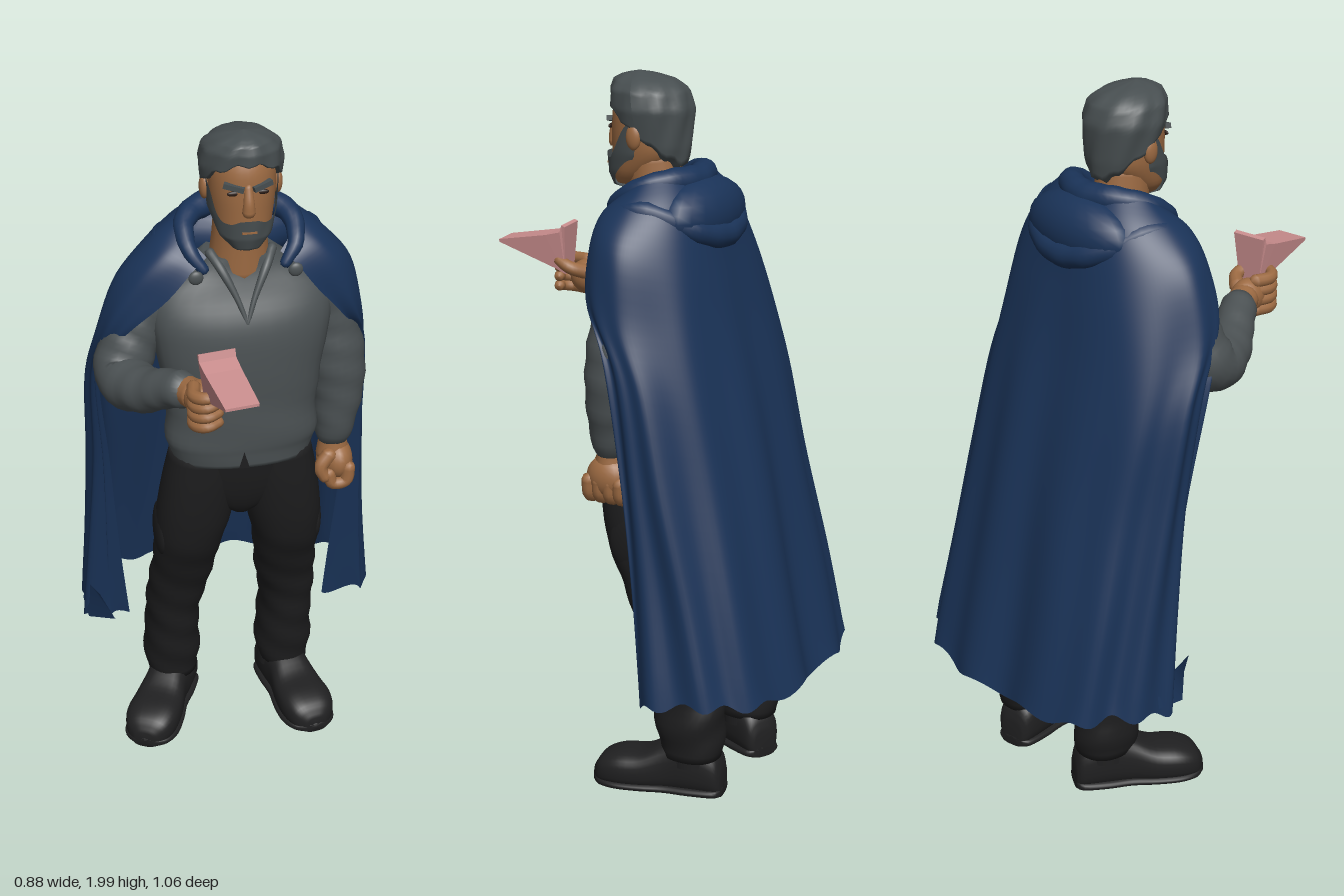
import * as THREE from 'three';

const mat = (name, color, side = THREE.FrontSide) => {
  const m = new THREE.MeshStandardMaterial({ color, side });
  m.name = name;
  return m;
};
const V = (x, y, z) => new THREE.Vector3(x, y, z);
const sstep = THREE.MathUtils.smoothstep;

// Surface through rows of points; wrap joins the last column to the first
function surface(rows, wrap) {
  const n = rows[0].length, pos = [], idx = [];
  rows.forEach(r => r.forEach(p => pos.push(p.x, p.y, p.z)));
  for (let i = 0; i < rows.length - 1; i++)
    for (let j = 0; j < (wrap ? n : n - 1); j++) {
      const k = (j + 1) % n, a = i * n + j, b = a + n, c = i * n + k, d = c + n;
      idx.push(a, b, c, c, b, d);
    }
  const g = new THREE.BufferGeometry();
  g.setAttribute('position', new THREE.Float32BufferAttribute(pos, 3));
  g.setIndex(idx);
  g.computeVertexNormals();
  return g;
}
const spline = pts => new THREE.CatmullRomCurve3(pts, false, 'catmullrom', 0.5);

// Stacked superellipse rings [cx, y, cz, rx, rz], bottom to top, with closed ends
function loft(rings, { pow = 2, ripple = () => 0, seg = 32, steps = 4 } = {}) {
  const c = spline(rings.map(r => V(r[0], r[1], r[2])));
  const s = spline(rings.map(r => V(r[3], r[4], 0)));
  const n = (rings.length - 1) * steps, rows = [];
  const sp = v => Math.sign(v) * Math.abs(v) ** (2 / pow);
  for (let i = -1; i <= n + 1; i++) {
    const t = THREE.MathUtils.clamp(i / n, 0, 1), p = c.getPoint(t), r = s.getPoint(t);
    const cap = i < 0 || i > n ? 0 : 1;
    rows.push(Array.from({ length: seg }, (_, j) => {
      const a = j / seg * Math.PI * 2, k = cap * (1 + ripple(a, p.y));
      return V(p.x + r.x * k * sp(Math.cos(a)), p.y, p.z + r.y * k * sp(Math.sin(a)));
    }));
  }
  return surface(rows, true);
}

// Tapered round tube through [x, y, z, r] with rounded ends
function limb(pts, wrinkle = 0, seg = 16) {
  const c = spline(pts.map(p => V(p[0], p[1], p[2]))), n = (pts.length - 1) * 6;
  const rad = spline(pts.map(p => V(p[3], 0, 0))), f = c.computeFrenetFrames(n);
  const rows = [];
  const ring = (i, off, k) => {
    const p = c.getPointAt(i / n), r = rad.getPoint(i / n).x;
    p.addScaledVector(f.tangents[i], off * r);
    rows.push(Array.from({ length: seg }, (_, j) => {
      const a = j / seg * Math.PI * 2, q = r * k * (1 + wrinkle * Math.sin(i * 1.5 + 2 * Math.sin(a)));
      return p.clone().addScaledVector(f.normals[i], q * Math.cos(a)).addScaledVector(f.binormals[i], -q * Math.sin(a));
    }));
  };
  ring(0, -0.75, 0); ring(0, -0.5, 0.75);
  for (let i = 0; i <= n; i++) ring(i, 0, 1);
  ring(n, 0.5, 0.75); ring(n, 0.75, 0);
  return surface(rows, true);
}

// Partial shell round the head between the lines lo(angle) and hi(angle); rings [y, cz, rx, rz]
function shell(rings, a0, a1, lo, hi, tuck, strands) {
  const rows = [], M = 48, N = 22;
  for (let i = 0; i <= N; i++) rows.push(Array.from({ length: M + 1 }, (_, j) => {
    const a = a0 + (a1 - a0) * j / M, y = lo(a) + (hi(a) - lo(a)) * i / N;
    let k = 0;
    while (k < rings.length - 2 && rings[k + 1][0] < y) k++;
    const [p, q] = [rings[k], rings[k + 1]], t = THREE.MathUtils.clamp((y - p[0]) / (q[0] - p[0]), 0, 1);
    const [cz, rx, rz] = [1, 2, 3].map(m => p[m] + (q[m] - p[m]) * t);
    const w = (i === 0 ? tuck : 1) * (1 + strands * Math.sin(9 * a + y * 30));
    return V(rx * w * Math.cos(a), y, cz + rz * w * Math.sin(a));
  }));
  return surface(rows, false);
}

export function createModel() {
  const D = THREE.DoubleSide;
  const cloakM = mat('cloak blue', 0x1a3358, D), knit = mat('knit grey', 0x4b5153), hairM = mat('hair grey', 0x474e50, D);
  const skin = mat('skin', 0x9c6a42), cloth = mat('trouser black', 0x1d1d1e), leather = mat('boot black', 0x202021);
  const pink = mat('pink', 0xc98d8d), dark = mat('eye dark', 0x2a1c16);
  const root = new THREE.Group();
  const add = (name, geo, m, parent = root) => {
    const mesh = new THREE.Mesh(geo, m);
    mesh.name = name;
    parent.add(mesh);
    return mesh;
  };
  const ball = (name, m, x, y, z, rx, ry, rz) => {
    const b = add(name, new THREE.SphereGeometry(1, 20, 14), m);
    b.position.set(x, y, z);
    b.scale.set(rx, ry, rz);
    return b;
  };

  // Head and face
  add('head', loft([[0, 1.69, 0.045, 0.04, 0.045], [0, 1.72, 0.03, 0.068, 0.068], [0, 1.78, 0, 0.085, 0.1],
    [0, 1.84, 0, 0.09, 0.1], [0, 1.9, -0.005, 0.09, 0.1], [0, 1.95, -0.005, 0.075, 0.08]]), skin);
  add('neck', limb([[0, 1.58, -0.04, 0.085], [0, 1.67, -0.03, 0.076], [0, 1.77, -0.02, 0.072]]), skin);
  add('nose', limb([[0, 1.865, 0.092, 0.011], [0, 1.825, 0.103, 0.014], [0, 1.795, 0.102, 0.018]]), skin);
  add('hair', shell([[1.74, -0.02, 0.08, 0.095], [1.8, -0.02, 0.097, 0.105], [1.9, -0.015, 0.114, 0.115], [1.95, -0.005, 0.104, 0.107],
    [1.975, 0.008, 0.075, 0.087], [1.988, 0.02, 0.045, 0.05], [1.997, 0.025, 0, 0]], 0, Math.PI * 2,
    a => 1.832 + 0.09 * Math.sin(a) + 0.006 * Math.sin(11 * a), () => 1.997, 0.82, 0.025), hairM);
  const off = a => Math.abs(a - Math.PI / 2);
  add('beard', shell([[1.668, 0.05, 0, 0], [1.685, 0.05, 0.045, 0.05], [1.72, 0.035, 0.075, 0.076], [1.78, 0.005, 0.092, 0.11],
    [1.87, 0, 0.097, 0.1]], Math.PI / 2 - 1.7, Math.PI / 2 + 1.7,
    a => 1.668 + 0.1 * sstep(off(a), 0.7, 1.7), a => 1.775 - 0.012 * sstep(off(a), 0.2, 0.6) + 0.1 * sstep(off(a), 0.8, 1.5), 1, 0.008), hairM);
  add('mouth', new THREE.BoxGeometry(0.04, 0.005, 0.008), skin).position.set(0, 1.742, 0.111);
  for (const s of [-1, 1]) {
    ball('ear', skin, s * 0.098, 1.83, -0.01, 0.014, 0.035, 0.022);
    ball('eye', dark, s * 0.038, 1.847, 0.09, 0.018, 0.007, 0.005);
    const brow = add('eyebrow', new THREE.BoxGeometry(0.055, 0.014, 0.016), hairM);
    brow.position.set(s * 0.038, 1.866, 0.093);
    brow.rotation.set(0, s * 0.35, s * 0.2);
  }

  // Sweater body with neckline and hem slit
  add('sweater', loft([[0, 1.01, -0.01, 0.196, 0.1], [0, 1.05, -0.01, 0.205, 0.106], [0, 1.09, -0.01, 0.213, 0.112], [0, 1.2, -0.01, 0.213, 0.113],
    [0, 1.35, -0.01, 0.235, 0.118], [0, 1.45, -0.015, 0.25, 0.112], [0, 1.53, -0.03, 0.235, 0.092], [0, 1.59, -0.04, 0.15, 0.08], [0, 1.63, -0.04, 0.095, 0.075]],
    { pow: 2.3, ripple: (a, y) => 0.014 * Math.sin(y * 45 + 3 * Math.cos(a)) * (1 - sstep(y, 1.2, 1.45)) }), knit);
  const slit = add('hemSlit', new THREE.CircleGeometry(0.035, 3, Math.PI / 2), cloth);
  slit.position.set(-0.012, 1.035, 0.105);
  slit.scale.x = 0.5;
  for (const s of [-1, 1])
    add('neckline', limb([[s * 0.085, 1.635, -0.01, 0.014], [s * 0.06, 1.6, 0.035, 0.012], [s * 0.025, 1.53, 0.066, 0.008], [0, 1.46, 0.088, 0.006]]), knit);

  // Trousers and boots
  const folds = (a, y) => 0.035 * Math.sin(y * 55 + 2.5 * Math.sin(a + 1)) * (1 - sstep(y, 0.45, 0.85));
  add('trouserSeat', loft([[0, 0.81, -0.04, 0.03, 0.05], [0, 0.85, -0.037, 0.1, 0.072], [0, 0.92, -0.03, 0.18, 0.088],
    [0, 1.03, -0.02, 0.203, 0.098]], { pow: 2.4 }), cloth);
  for (const s of [-1, 1]) {
    add('trouserLeg', loft([[0.173, 0.12, -0.24, 0.074, 0.085], [0.173, 0.2, -0.235, 0.084, 0.098], [0.173, 0.3, -0.222, 0.079, 0.105],
      [0.172, 0.4, -0.193, 0.08, 0.097], [0.16, 0.5, -0.155, 0.088, 0.09], [0.15, 0.6, -0.112, 0.091, 0.09], [0.143, 0.7, -0.075, 0.098, 0.1],
      [0.13, 0.8, -0.05, 0.108, 0.1], [0.115, 0.92, -0.034, 0.107, 0.1], [0.1, 1.03, -0.022, 0.1, 0.093]].map(r => [s * r[0], ...r.slice(1)]),
      { pow: 2.2, ripple: folds }), cloth);
    ball('thighPocket', cloth, s * 0.225, 0.735, -0.07, 0.02, 0.085, 0.065);
    const boot = new THREE.Group();
    boot.name = 'boot';
    const foot = [[-0.09, 0.035, 0.08], [-0.07, 0.056, 0.13], [0, 0.064, 0.17], [0.07, 0.064, 0.15], [0.14, 0.076, 0.115],
      [0.21, 0.08, 0.105], [0.26, 0.064, 0.085], [0.285, 0.03, 0.05]];
    const along = (grow, cut) => loft(foot.map(([z, w, h]) => [0, z, -Math.min(h, cut) / 2, w + grow, Math.min(h, cut) / 2]),
      { pow: 2.7 }).rotateX(Math.PI / 2);
    add('upper', along(0, 1), leather, boot);
    add('sole', along(0.003, 0.03), leather, boot);
    add('shaft', new THREE.CylinderGeometry(0.073, 0.07, 0.14, 24), leather, boot).position.y = 0.16;
    boot.position.set(s * 0.168, 0.005, -0.24);
    boot.rotation.y = s > 0 ? 0.2 : -0.48;
    root.add(boot);
  }

  // Arms
  add('leftSleeve', limb([[0.22, 1.5, -0.055, 0.075], [0.258, 1.38, -0.065, 0.08], [0.283, 1.2, -0.055, 0.085],
    [0.28, 1.1, -0.045, 0.072], [0.272, 1.02, -0.04, 0.052]], 0.03, 24), knit);
  add('rightSleeve', limb([[-0.23, 1.5, -0.055, 0.075], [-0.295, 1.39, -0.045, 0.08], [-0.33, 1.295, 0, 0.08],
    [-0.29, 1.3, 0.1, 0.072], [-0.235, 1.34, 0.18, 0.057], [-0.2, 1.36, 0.225, 0.05]], 0.03, 24), knit);

  // Left fist
  add('leftWrist', limb([[0.272, 1.02, -0.04, 0.04], [0.272, 0.95, -0.038, 0.048]]), skin);
  ball('leftPalm', skin, 0.282, 0.935, -0.038, 0.047, 0.062, 0.066);
  for (let i = 0; i < 4; i++) {
    const z = 0.012 - 0.032 * i;
    add('leftFinger', limb([[0.308, 0.93, z, 0.02], [0.3, 0.885, z, 0.02], [0.262, 0.88, z, 0.019], [0.252, 0.915, z, 0.017]], 0, 10), skin);
  }
  add('leftThumb', limb([[0.255, 0.97, 0, 0.022], [0.228, 0.935, 0.01, 0.02], [0.24, 0.9, 0.015, 0.017]], 0, 10), skin);

  // Right hand, raised and gripping
  add('rightWrist', limb([[-0.2, 1.36, 0.22, 0.04], [-0.175, 1.365, 0.27, 0.042]]), skin);
  ball('rightPalm', skin, -0.168, 1.365, 0.29, 0.042, 0.05, 0.055);
  for (let i = 0; i < 4; i++) {
    const y = 1.325 + 0.028 * i;
    add('rightFinger', limb([[-0.185, y, 0.3, 0.019], [-0.192, y, 0.35, 0.018], [-0.165, y + 0.005, 0.378, 0.017], [-0.13, y + 0.01, 0.365, 0.015]], 0, 10), skin);
  }
  add('rightThumb', limb([[-0.135, 1.385, 0.28, 0.022], [-0.1, 1.4, 0.31, 0.019], [-0.1, 1.42, 0.35, 0.016]], 0, 10), skin);

  // Folded wedge held in the right hand
  const outline = new THREE.Shape([[0, 0], [0.03, 0.015], [0.2, 0.082], [0.2, 0.09], [0.055, 0.113], [0.01, 0.124], [0.004, 0.145], [-0.006, 0.14]]
    .map(p => new THREE.Vector2(...p)));
  const wedge = new THREE.ExtrudeGeometry(outline, { depth: 0.1, bevelEnabled: false }).translate(0, 0, -0.05).rotateY(-Math.PI / 2);
  const wp = wedge.attributes.position;
  for (let i = 0; i < wp.count; i++) wp.setX(i, wp.getX(i) * (0.65 + 3 * Math.min(wp.getY(i), 0.12)));
  wedge.computeVertexNormals();
  const held = add('heldWedge', wedge, pink);
  held.position.set(-0.13, 1.38, 0.33);
  held.rotation.y = 0.15;

  // Cloak: half rows from the front edge to the middle of the back
  const half = [
    [[0.1, 1.64, 0.03], [0.145, 1.69, -0.01], [0.155, 1.73, -0.07], [0.1, 1.745, -0.13], [0, 1.74, -0.15]],
    [[0.14, 1.61, 0.055], [0.22, 1.645, 0.015], [0.24, 1.655, -0.08], [0.16, 1.66, -0.18], [0, 1.65, -0.22]],
    [[0.2, 1.53, 0.055], [0.285, 1.56, 0.015], [0.315, 1.55, -0.09], [0.2, 1.52, -0.22], [0, 1.5, -0.255]],
    [[0.28, 1.43, 0.025], [0.334, 1.42, -0.01], [0.345, 1.38, -0.11], [0.23, 1.35, -0.255], [0, 1.33, -0.295]],
    [[0.35, 1.3, -0.05], [0.366, 1.25, -0.095], [0.365, 1.2, -0.18], [0.24, 1.15, -0.305], [0, 1.12, -0.35]],
    [[0.34, 0.95, -0.115], [0.38, 0.95, -0.145], [0.38, 0.93, -0.24], [0.25, 0.9, -0.365], [0, 0.9, -0.4]],
    [[0.32, 0.65, -0.155], [0.4, 0.65, -0.185], [0.385, 0.63, -0.31], [0.27, 0.6, -0.435], [0, 0.6, -0.46]],
    [[0.3, 0.36, -0.19], [0.43, 0.35, -0.22], [0.4, 0.37, -0.37], [0.28, 0.35, -0.49], [0, 0.34, -0.515]]];
  // the right shoulder sits a little further out, over the raised arm
  const lean = [0, 0.005, 0.015, 0.035, 0.035, 0.015, 0.01, 0];
  const across = half.map((r, i) => spline([...r.map((p, k) => V(-p[0] - (k < 4 ? lean[i] : 0), p[1], p[2])),
    ...r.slice(0, -1).reverse().map(p => V(...p))]));
  const M = 110, N = 40;
  const columns = Array.from({ length: M + 1 }, (_, j) => spline(across.map(c => c.getPoint(j / M))));
  const cloakRows = Array.from({ length: N + 1 }, (_, i) => columns.map((c, j) => {
    const v = i / N, u = j / M, p = c.getPoint(v), out = V(p.x, 0, p.z + 0.15).normalize();
    p.addScaledVector(out, 0.011 * sstep(v, 0.15, 1) * (Math.sin(u * 62) + 0.6 * Math.sin(u * 35 + 1)));
    if (i === N) p.y += 0.01 * Math.sin(u * 75);
    return p;
  }));
  add('cloak', surface(cloakRows, false), cloakM);

  // Torn flap at the right hem
  add('cloakFlap', surface([[V(-0.4, 0.48, -0.13), V(-0.42, 0.47, -0.2), V(-0.41, 0.46, -0.26)],
    [V(-0.36, 0.4, -0.11), V(-0.43, 0.37, -0.18), V(-0.435, 0.38, -0.27)]], false), cloakM);

  // Hood lying in soft folds on the shoulders, with clasps
  ball('hoodBag', cloakM, 0, 1.625, -0.165, 0.195, 0.1, 0.092);
  const roll = (pts, r) => limb([...pts.map(p => [-p[0], p[1], p[2], r * p[3]]), ...pts.slice(0, -1).reverse().map(p => [p[0], p[1], p[2], r * p[3]])], 0.03);
  add('hoodRoll', roll([[0.11, 1.61, 0.045, 0.5], [0.145, 1.66, 0.015, 0.8], [0.145, 1.705, -0.06, 1], [0.09, 1.72, -0.125, 1.2], [0, 1.715, -0.15, 1.3]], 0.03), cloakM);
  add('hoodRoll', roll([[0.17, 1.61, 0.03, 0.5], [0.205, 1.64, -0.02, 0.9], [0.195, 1.65, -0.11, 1], [0.12, 1.6, -0.205, 1.1], [0, 1.575, -0.232, 1.2]], 0.033), cloakM);
  for (const s of [-1, 1]) ball('clasp', knit, s * 0.135, 1.6, 0.065, 0.02, 0.02, 0.01);

  return root;
}
